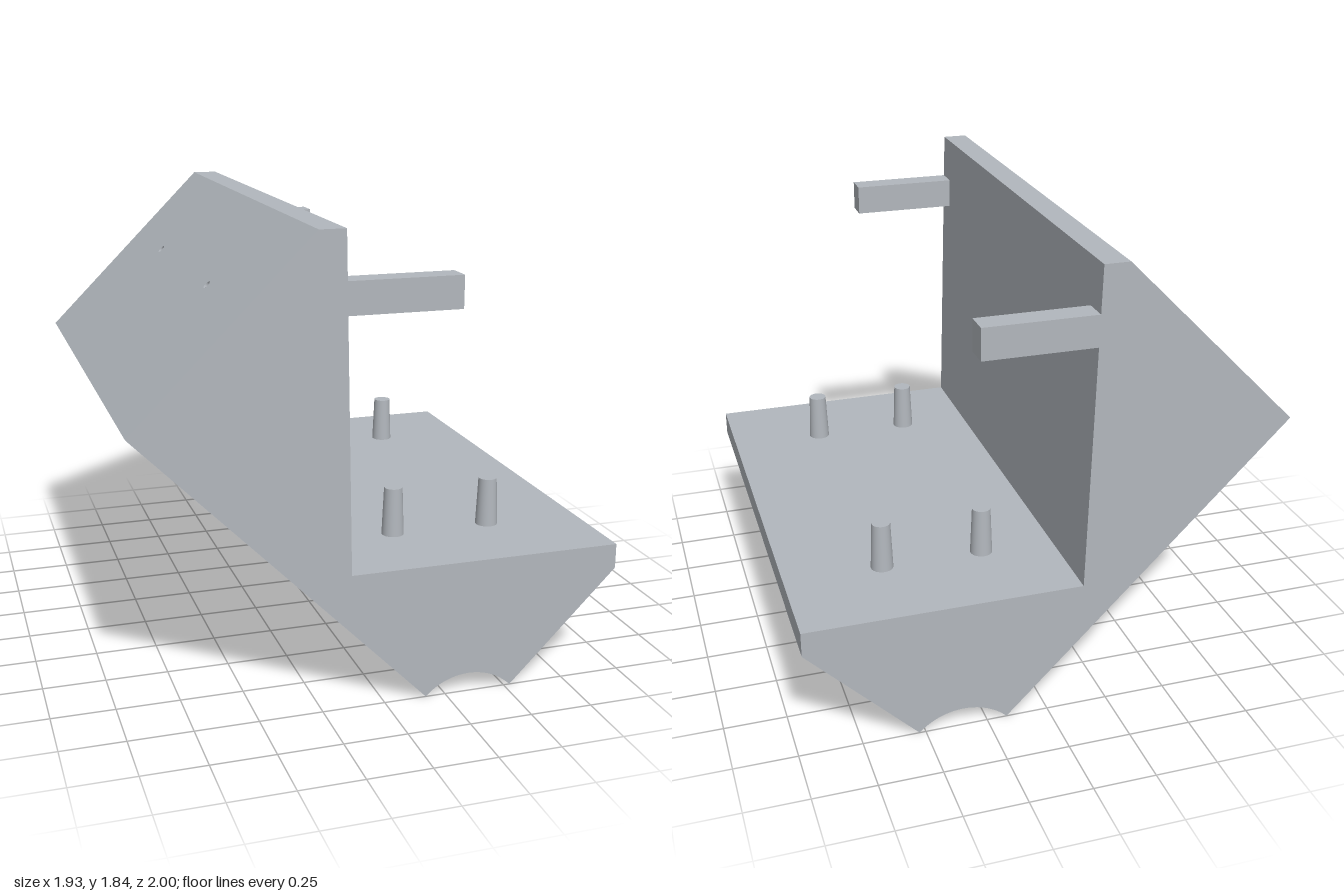
import * as THREE from 'three';

const HALF = 1; // half depth along z

export function createModel() {
  const group = new THREE.Group();
  const grey = new THREE.MeshStandardMaterial({ color: 0xb2b7bd, side: THREE.DoubleSide });
  grey.name = 'light grey';

  const add = (name, geometry, parent = group) => {
    const mesh = new THREE.Mesh(geometry, grey);
    mesh.name = name;
    parent.add(mesh);
    return mesh;
  };

  // Side profile, counterclockwise, starting with the round groove underneath
  const profile = [];
  const R = 0.2476, sweep = 0.7995, steps = 20;
  for (let i = 0; i <= steps; i++) {
    const a = Math.PI / 2 + sweep * (1 - (2 * i) / steps);
    profile.push(new THREE.Vector2(0.3475 + R * Math.cos(a), Math.max(0, -0.1726 + R * Math.sin(a))));
  }
  for (const [x, y] of [[0.965, 0.443], [0.965, 0.543], [-0.138, 0.543], [-0.168, 1.84], [-0.27, 1.84], [-0.965, 1.145]]) {
    profile.push(new THREE.Vector2(x, y));
  }

  // End faces
  const end = new THREE.ShapeGeometry(new THREE.Shape(profile));
  const backEnd = end.clone();
  backEnd.index.array.reverse();
  backEnd.computeVertexNormals();
  add('frontEnd', end.translate(0, 0, HALF));
  add('backEnd', backEnd.translate(0, 0, -HALF));

  // Long walls along every profile edge except the upper slope, which has holes
  const walls = [];
  const slopeEdge = profile.length - 2;
  profile.forEach((a, i) => {
    if (i === slopeEdge) return;
    const b = profile[(i + 1) % profile.length];
    const q = [[a.x, a.y, HALF], [a.x, a.y, -HALF], [b.x, b.y, -HALF], [b.x, b.y, HALF]];
    for (const k of [0, 1, 2, 0, 2, 3]) walls.push(...q[k]);
  });
  const wallGeometry = new THREE.BufferGeometry();
  wallGeometry.setAttribute('position', new THREE.Float32BufferAttribute(walls, 3));
  wallGeometry.computeVertexNormals();
  add('bodyWalls', wallGeometry);

  // Upper slope, drawn flat and then laid onto the 45 degree edge
  const slope = new THREE.Group();
  slope.name = 'upperSlope';
  const s = Math.SQRT1_2;
  slope.applyMatrix4(new THREE.Matrix4().makeBasis(
    new THREE.Vector3(0, 0, 1), new THREE.Vector3(s, s, 0), new THREE.Vector3(-s, s, 0)
  ).setPosition(-0.965, 1.145, 0));
  group.add(slope);

  const length = 0.695 * Math.SQRT2, holeR = 0.017, holeV = 0.594, holeDepth = 0.2;
  const face = new THREE.Shape([
    new THREE.Vector2(-HALF, 0), new THREE.Vector2(HALF, 0),
    new THREE.Vector2(HALF, length), new THREE.Vector2(-HALF, length),
  ]);
  for (const u of [-0.45, 0.45]) {
    face.holes.push(new THREE.Path().absarc(u, holeV, holeR, 0, Math.PI * 2, true));
    // Screw hole lining and floor
    const lining = new THREE.CylinderGeometry(holeR, holeR, holeDepth, 24, 1, true);
    add('screwHole', lining.rotateX(Math.PI / 2).translate(u, holeV, -holeDepth / 2), slope);
    add('screwHoleFloor', new THREE.CircleGeometry(holeR, 24).translate(u, holeV, -holeDepth), slope);
  }
  add('slopeFace', new THREE.ShapeGeometry(face, 24), slope);

  // Arms at both ends of the upright and tapered pegs on the shelf
  for (const side of [-1, 1]) {
    add('arm', new THREE.BoxGeometry(0.46, 0.125, 0.1)).position.set(0.05, 1.592, side * 0.95);
    for (const x of [0.16, 0.57]) {
      add('peg', new THREE.CylinderGeometry(0.037, 0.045, 0.2, 32)).position.set(x, 0.641, side * 0.63);
    }
  }
  return group;
}
